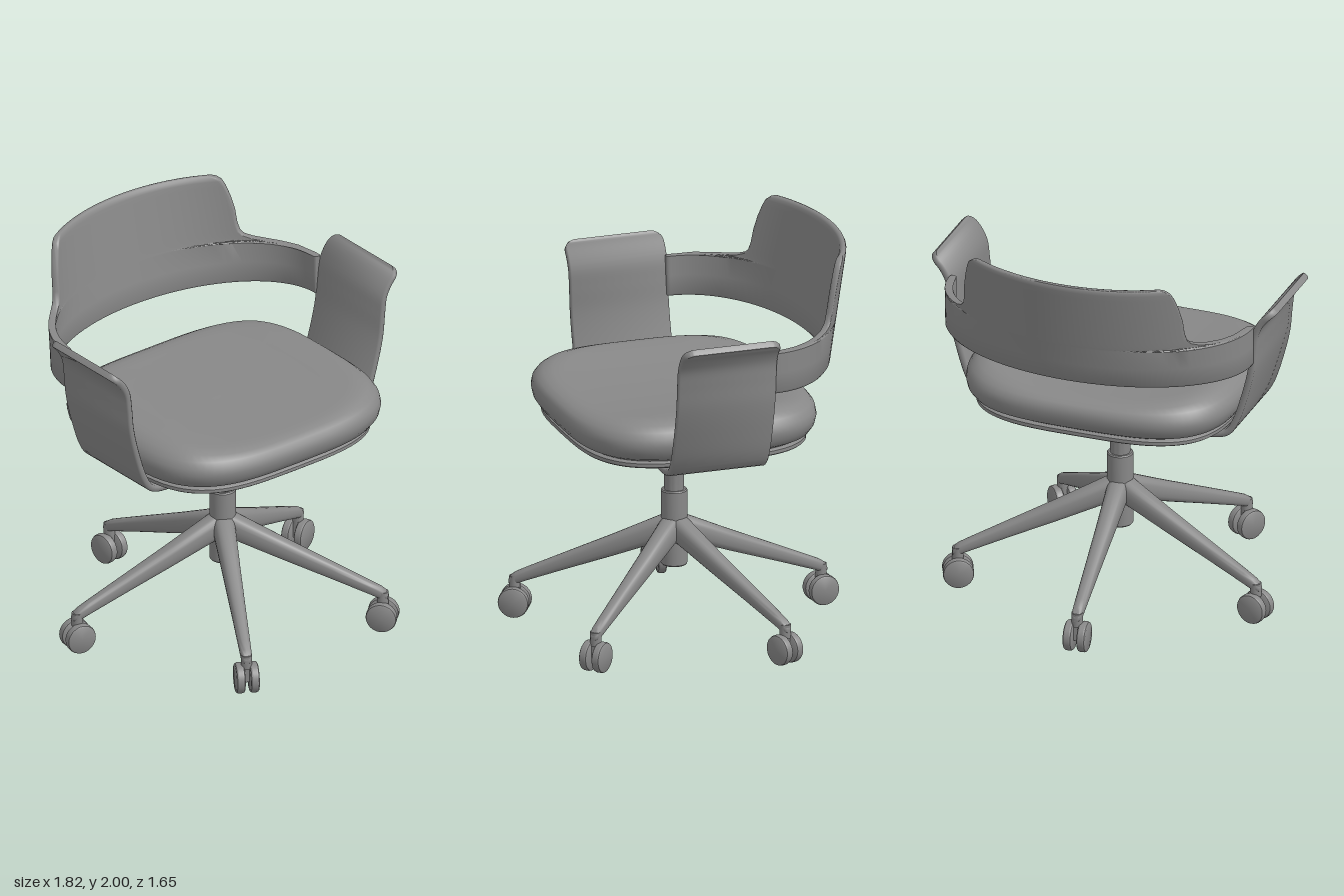
import * as THREE from 'three';
import { toCreasedNormals } from 'three/addons/utils/BufferGeometryUtils.js';

const material = new THREE.MeshStandardMaterial({ color: 0x888888, side: THREE.DoubleSide });
const V = (x, y, z) => new THREE.Vector3(x, y, z);

function part(name, geometry, parent) {
  const mesh = new THREE.Mesh(geometry, material);
  mesh.name = name;
  parent.add(mesh);
  return mesh;
}

// Joins closed rings of equal length into a solid, facing outwards
function loft(rings, crease = 0.7, capped = true) {
  const n = rings[0].length, pts = rings.flat(), idx = [];
  for (let k = 0; k < rings.length - 1; k++) {
    for (let i = 0; i < n; i++) {
      const a = k * n + i, b = k * n + (i + 1) % n;
      idx.push(a, b, b + n, a, b + n, a + n);
    }
  }
  const cap = (ring, start, flip) => {
    const c = pts.length;
    pts.push(ring.reduce((s, p) => s.add(p), V(0, 0, 0)).divideScalar(n));
    for (let i = 0; i < n; i++) {
      const a = start + i, b = start + (i + 1) % n;
      idx.push(c, flip ? b : a, flip ? a : b);
    }
  };
  if (capped) {
    cap(rings[0], 0, true);
    cap(rings[rings.length - 1], (rings.length - 1) * n, false);
  }
  let volume = 0;
  for (let i = 0; i < idx.length; i += 3) {
    volume += pts[idx[i]].dot(V(0, 0, 0).crossVectors(pts[idx[i + 1]], pts[idx[i + 2]]));
  }
  if (volume < 0) idx.reverse();
  const g = new THREE.BufferGeometry().setFromPoints(pts);
  g.setIndex(idx);
  return toCreasedNormals(g, crease);
}

// Rounded-square outline of the seat, inset from its full size
function seatRing(inset, y, dish = 0) {
  const ring = [], n = 72, e = 2 / 3.4;
  for (let i = 0; i < n; i++) {
    const a = (i / n) * Math.PI * 2, c = Math.cos(a), s = Math.sin(a);
    const x = (0.703 - inset) * Math.sign(c) * Math.abs(c) ** e;
    const z = (0.63 - inset) * Math.sign(s) * Math.abs(s) ** e;
    const lift = Math.min(1, (x / 0.55) ** 2) - 1;
    ring.push(V(x, y + dish * lift, 0.05 + z));
  }
  return ring;
}

// Backrest: rows of an elliptical arc, each with its own half width, tilting back as it rises.
// The first and last rows have no thickness, which closes the shell.
function backrest() {
  const rows = [ // height, half width, thickness
    [1.43, 0.8, 0], [1.433, 0.8, 0.02], [1.445, 0.8, 0.035], [1.54, 0.8, 0.035], [1.64, 0.8, 0.035],
    [1.646, 0.78, 0.035], [1.649, 0.74, 0.035], [1.655, 0.69, 0.035], [1.664, 0.645, 0.035], [1.68, 0.61, 0.035],
    [1.7, 0.594, 0.035], [1.74, 0.585, 0.035], [1.81, 0.58, 0.035], [1.88, 0.567, 0.035], [1.94, 0.55, 0.035],
    [1.97, 0.537, 0.035], [1.988, 0.517, 0.032], [1.997, 0.495, 0.02], [2.0, 0.47, 0],
  ];
  const n = 60;
  const rings = rows.map(([y, w, t]) => {
    const reach = w >= 0.8 ? 1.6 : Math.asin(w / 0.8), outer = [], inner = [];
    for (let i = 0; i <= n; i++) {
      // Columns crowd towards the side edges, where the thickness rounds off
      const f = 2 * i / n - 1, a = reach * (1.5 * f - 0.5 * f ** 3);
      const fromEnd = Math.min(i, n - i);
      const h = t / 2 * [0.25, 0.6, 0.85, 1][Math.min(3, fromEnd)];
      const at = (d) => V((0.8 - d) * Math.sin(a), y,
        -0.2 - (0.49 - d + (y - 1.44) * 0.178) * Math.cos(a));
      outer.push(at(0.0175 - h));
      inner.unshift(at(0.0175 + h));
    }
    return [...outer, ...inner];
  });
  return loft(rings, 0.8, false);
}

// Armrest: a wide strip bent from under the seat, up the side and out at the top
function armrest() {
  const path = new THREE.CatmullRomCurve3([
    V(0.335, 1.018, 0), V(0.47, 1.016, 0), V(0.6, 1.018, 0), V(0.66, 1.04, 0), V(0.7, 1.1, 0),
    V(0.75, 1.25, 0), V(0.785, 1.4, 0), V(0.797, 1.52, 0), V(0.81, 1.61, 0), V(0.845, 1.675, 0), V(0.9, 1.73, 0),
  ]);
  const n = 70, rings = [], length = path.getLength();
  for (let k = 0; k <= n; k++) {
    // Stations crowd together at both ends to round the corners
    const f = (1 - Math.cos(Math.PI * k / n)) / 2;
    const p = path.getPointAt(f), tan = path.getTangentAt(f);
    const corner = (d, r) => d >= r ? 0 : r - Math.sqrt(r * r - (r - d) ** 2);
    const h = 0.255 - corner(f * length, 0.18) - corner((1 - f) * length, 0.055);
    const t = 0.017 * (k === 0 || k === n ? 0.5 : 1), b = 0.008;
    const section = [[-h, -t + b], [-h + b, -t], [h - b, -t], [h, -t + b], [h, t - b], [h - b, t], [-h + b, t], [-h, t - b]];
    rings.push(section.map(([z, d]) => V(p.x - tan.y * d, p.y + tan.x * d, 0.055 + z)));
  }
  return loft(rings, 0.9);
}

// Tapering leg of the base, running along +x
function leg() {
  const stations = [ // distance, top, bottom, half width
    [0, 0.58, 0.44, 0.05], [0.06, 0.57, 0.435, 0.055], [0.3, 0.455, 0.345, 0.045], [0.55, 0.34, 0.255, 0.036],
    [0.74, 0.252, 0.185, 0.03], [0.79, 0.228, 0.165, 0.028], [0.815, 0.21, 0.165, 0.024], [0.826, 0.19, 0.165, 0.014],
  ];
  return loft(stations.map(([r, top, bottom, w]) => {
    const ring = [], e = 0.75;
    for (let i = 0; i < 20; i++) {
      const a = i / 20 * Math.PI * 2, c = Math.cos(a), s = Math.sin(a);
      ring.push(V(r, (top + bottom) / 2 + (top - bottom) / 2 * Math.sign(s) * Math.abs(s) ** e,
        w * Math.sign(c) * Math.abs(c) ** e));
    }
    return ring;
  }), 1);
}

function lathe(profile) {
  const g = new THREE.LatheGeometry(profile.map(([r, y]) => new THREE.Vector2(r, y)), 40);
  return toCreasedNormals(g, 0.6);
}

export function createModel() {
  const chair = new THREE.Group();
  chair.name = 'officeChair';

  // Seat
  part('seatCushion', loft([
    seatRing(0.3, 1.08), seatRing(0.1, 1.08), seatRing(0.065, 1.086), seatRing(0.03, 1.106), seatRing(0.008, 1.14),
    seatRing(0, 1.18), seatRing(0.006, 1.215), seatRing(0.025, 1.245, 0.01), seatRing(0.055, 1.27, 0.02),
    seatRing(0.1, 1.286, 0.03), seatRing(0.15, 1.289, 0.034), seatRing(0.25, 1.289, 0.035),
    seatRing(0.38, 1.289, 0.035), seatRing(0.5, 1.289, 0.035), seatRing(0.6, 1.289, 0.035),
  ], 0.9), chair);
  part('seatPlate', loft([
    seatRing(0.055, 1.053), seatRing(0.046, 1.06), seatRing(0.046, 1.078), seatRing(0.055, 1.085),
  ]), chair);

  // Back and arms
  part('backrest', backrest(), chair);
  const armGeometry = armrest();
  part('leftArmrest', armGeometry, chair);
  const rightArm = part('rightArmrest', armGeometry, chair);
  rightArm.scale.x = -1;

  // Column and base
  const base = new THREE.Group();
  base.name = 'base';
  base.position.set(-0.004, 0, 0.046);
  chair.add(base);
  part('seatMount', lathe([
    [0.05, 0.69], [0.05, 0.85], [0.056, 0.88], [0.08, 0.906], [0.13, 0.928], [0.18, 0.953],
    [0.22, 0.983], [0.247, 1.015], [0.26, 1.055], [0, 1.055],
  ]), base);
  part('columnSleeve', lathe([
    [0, 0.32], [0.06, 0.32], [0.065, 0.326], [0.065, 0.704], [0.06, 0.71], [0, 0.71],
  ]), base);

  const legGeometry = leg();
  const stemGeometry = new THREE.CylinderGeometry(0.028, 0.028, 0.07, 20);
  const forkGeometry = new THREE.BoxGeometry(0.045, 0.09, 0.03);
  const wheelGeometry = lathe([
    [0, -0.022], [0.068, -0.022], [0.074, -0.018], [0.077, -0.01], [0.077, 0.01], [0.074, 0.018], [0.068, 0.022], [0, 0.022],
  ]);
  wheelGeometry.rotateX(Math.PI / 2);
  for (let i = 0; i < 5; i++) {
    const spoke = new THREE.Group();
    spoke.name = 'spoke' + (i + 1);
    spoke.rotation.y = -THREE.MathUtils.degToRad(48.3 - 72 * i);
    base.add(spoke);
    part('leg', legGeometry, spoke);
    part('casterStem', stemGeometry, spoke).position.set(0.798, 0.17, 0);
    part('casterFork', forkGeometry, spoke).position.set(0.795, 0.105, 0);
    for (const side of [-1, 1]) {
      part('casterWheel', wheelGeometry, spoke).position.set(0.797, 0.077, side * 0.035);
    }
  }
  return chair;
}
